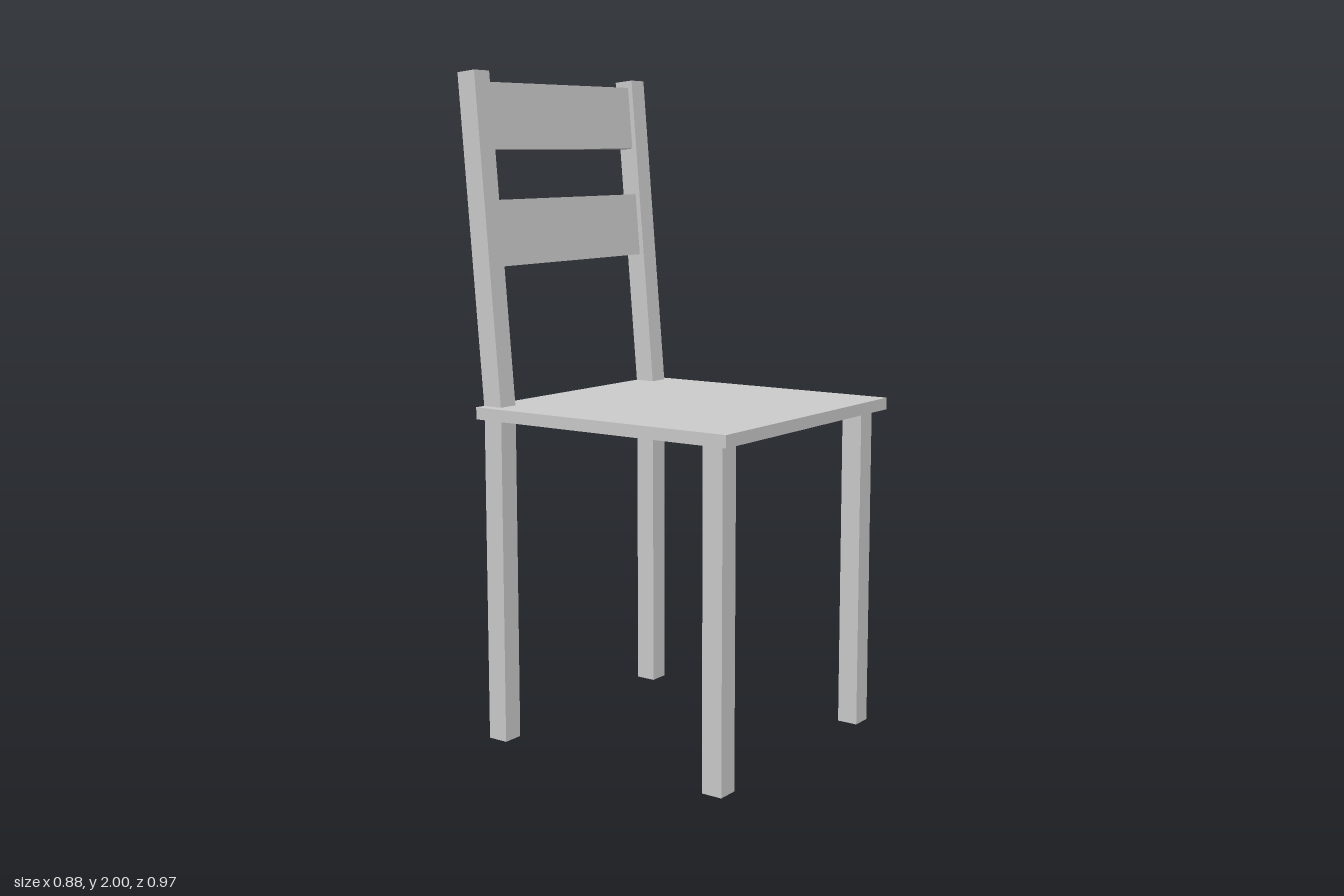
import * as THREE from 'three';

const material = new THREE.MeshStandardMaterial({ color: 0xcccccc, flatShading: true });

// Adds a named box, given its size and centre
function addBox(parent, name, size, centre) {
  const mesh = new THREE.Mesh(new THREE.BoxGeometry(...size), material);
  mesh.name = name;
  mesh.position.set(...centre);
  parent.add(mesh);
  return mesh;
}

export function createModel() {
  const chair = new THREE.Group();
  chair.name = 'chair';

  const bar = 0.065; // thickness of legs and posts
  const barX = 0.377; // their distance from the middle
  const seatBottom = 0.985;

  // Thin square seat
  addBox(chair, 'seat', [0.885, 0.036, 0.885], [0, seatBottom + 0.018, 0.04]);

  // Backrest leans backwards from the rear edge of the seat
  const backrest = new THREE.Group();
  backrest.name = 'backrest';
  backrest.position.set(0, 1.01, -0.367);
  backrest.rotation.x = -0.085;
  chair.add(backrest);

  for (const [side, s] of [['left', 1], ['right', -1]]) {
    addBox(chair, side + 'FrontLeg', [bar, seatBottom, bar], [s * barX, seatBottom / 2, 0.417]);
    addBox(chair, side + 'BackLeg', [bar, seatBottom, bar], [s * barX, seatBottom / 2, -0.367]);
    addBox(backrest, side + 'BackPost', [bar, 0.99, bar], [s * barX, 0.495, 0]);
  }

  // Two slats between the posts, set very slightly askew
  for (const [name, y] of [['upperSlat', 0.866], ['lowerSlat', 0.522]]) {
    addBox(backrest, name, [0.7, 0.196, 0.033], [0, y, 0]).rotation.z = 0.012;
  }

  return chair;
}
